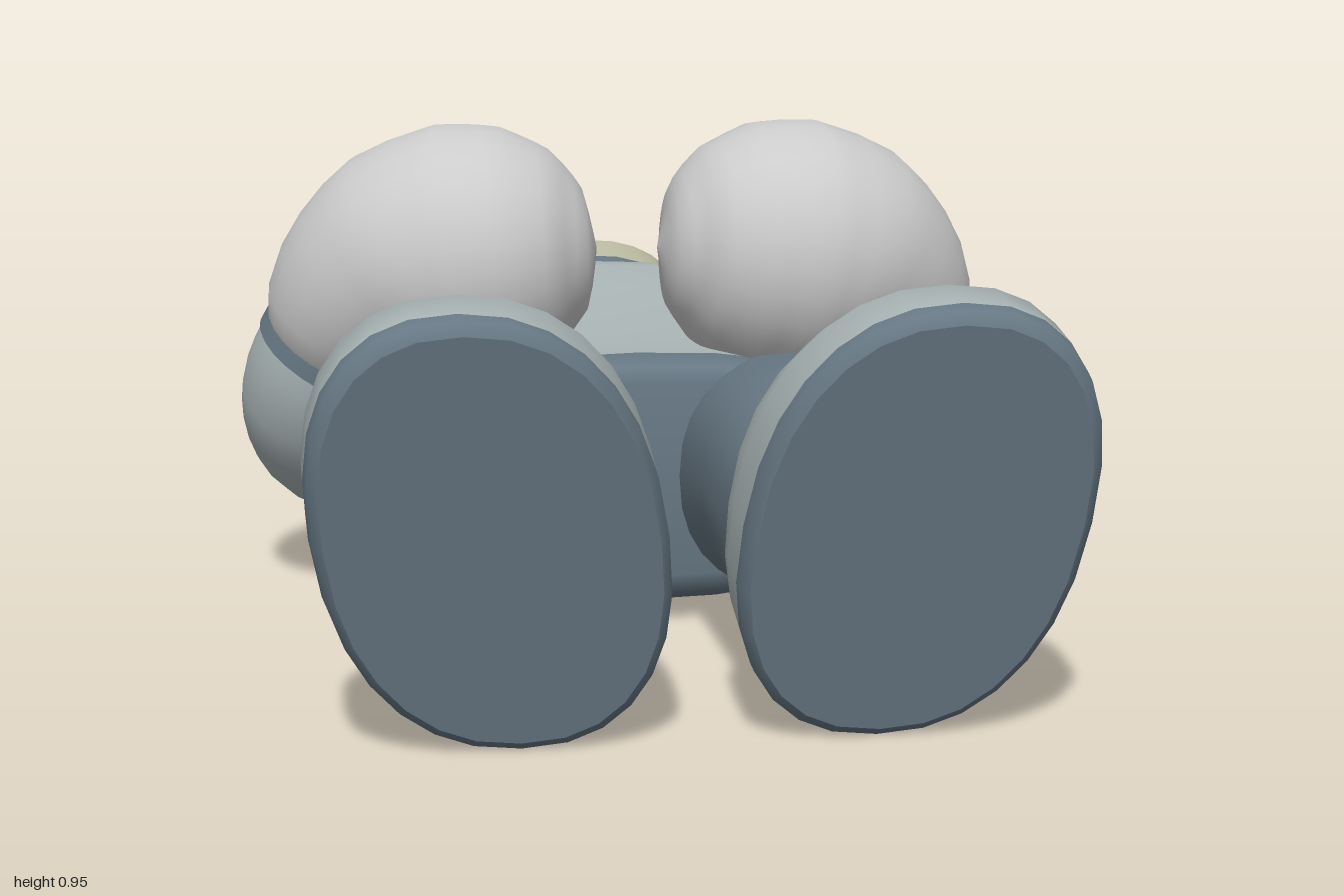
import * as THREE from 'three';

const SEG = 28;
const paint = (color) => new THREE.MeshStandardMaterial({ color, side: THREE.DoubleSide });
const suit = paint(0xa9b4b5), dark = paint(0x677884), trim = paint(0xb8b89f), glove = paint(0xcccccc);

// Skin a list of closed rings; a repeated ring gives a sharp edge
function skin(rings) {
  const pos = rings.flat().flatMap((p) => [p.x, p.y, p.z]);
  const idx = [];
  for (let i = 0; i < rings.length - 1; i++) {
    for (let j = 0; j < SEG; j++) {
      const a = i * SEG + j, b = i * SEG + (j + 1) % SEG;
      idx.push(a, b, a + SEG, b, b + SEG, a + SEG);
    }
  }
  const g = new THREE.BufferGeometry();
  g.setAttribute('position', new THREE.Float32BufferAttribute(pos, 3));
  g.setIndex(idx);
  g.computeVertexNormals();
  return g;
}

// Rings along z: [z, cx, cy, rx, ry, tilt of z by y, lean of x by y]
function loft(sections, n = 2.3) {
  const pw = (v) => Math.sign(v) * Math.abs(v) ** (2 / n);
  return skin(sections.map(([z, cx, cy, rx, ry, tilt = 0, lean = 0]) =>
    Array.from({ length: SEG }, (_, j) => {
      const t = (j / SEG) * Math.PI * 2, dy = ry * pw(Math.sin(t));
      return new THREE.Vector3(cx + rx * pw(Math.cos(t)) + lean * dy, cy + dy, z + tilt * dy);
    })));
}

// Round sweep along a smooth path between u0 and u1: [x, y, z, radius]
function sweep(knots, u0, u1, steps, grow = 0) {
  const path = new THREE.CatmullRomCurve3(knots.map((k) => new THREE.Vector3(...k)));
  const rings = [];
  for (let i = 0; i <= steps; i++) {
    const u = u0 + (u1 - u0) * (i / steps);
    const f = u * (knots.length - 1), k = Math.min(Math.floor(f), knots.length - 2);
    const r = THREE.MathUtils.lerp(knots[k][3], knots[k + 1][3], f - k) + grow;
    const c = path.getPoint(u), T = path.getTangent(u);
    const N = new THREE.Vector3(0, 0, 1).cross(T);
    if (N.length() < 0.1) N.set(1, 0, 0);
    N.normalize();
    const B = T.clone().cross(N).normalize();
    rings.push(Array.from({ length: SEG }, (_, j) => {
      const t = (j / SEG) * Math.PI * 2;
      return c.clone().addScaledVector(N, r * Math.cos(t)).addScaledVector(B, r * Math.sin(t));
    }));
  }
  return skin(rings);
}

function mirrored(geo) {
  const g = geo.clone().scale(-1, 1, 1), ix = g.index.array;
  for (let i = 0; i < ix.length; i += 3) [ix[i], ix[i + 1]] = [ix[i + 1], ix[i]];
  g.computeVertexNormals();
  return g;
}

export function createModel() {
  const root = new THREE.Group();
  root.name = 'recliningSuit';
  const add = (name, geo, mat) => {
    const m = new THREE.Mesh(geo, mat);
    m.name = name;
    root.add(m);
  };
  const pair = (name, geo, mat) => {
    add(name + 'Left', geo, mat);
    add(name + 'Right', mirrored(geo), mat);
  };

  // Collar, open at the neck
  const neckTop = [-0.85, 0, 0.395, 0.24, 0.205, 0.25];
  const neckBase = [-0.795, 0, 0.385, 0.245, 0.207, 0.22];
  add('collar', loft([[-0.933, 0, 0.422, 0.23, 0.203, 0.33], [-0.89, 0, 0.41, 0.237, 0.203, 0.29], neckTop]), trim);
  add('neckBand', loft([neckTop, neckBase]), dark);

  // Torso lying on its back
  const waist = [0, 0, 0.278, 0.53, 0.248];
  add('torso', loft([
    neckBase,
    [-0.755, 0, 0.375, 0.275, 0.22, 0.17],
    [-0.71, 0, 0.37, 0.37, 0.235, 0.13],
    [-0.64, 0, 0.36, 0.45, 0.245, 0.08],
    [-0.5, 0, 0.335, 0.48, 0.245, 0.03],
    [-0.35, 0, 0.31, 0.49, 0.245],
    [-0.18, 0, 0.285, 0.51, 0.25],
    [-0.06, 0, 0.275, 0.53, 0.25],
    waist,
  ], 2.5), suit);

  // Hips, closed at the crotch
  add('hips', loft([
    waist,
    [0.05, 0, 0.285, 0.53, 0.24],
    [0.09, 0, 0.29, 0.51, 0.225],
    [0.11, 0, 0.295, 0.46, 0.19],
    [0.11, 0, 0.295, 0, 0],
  ], 2.5), dark);

  // Trouser legs
  const ankle = [0.6, 0.318, 0.31, 0.232, 0.222, 0.1];
  pair('trouserLeg', loft([
    [0.01, 0.3, 0.28, 0.225, 0.242],
    [0.1, 0.3, 0.3, 0.23, 0.235],
    [0.2, 0.301, 0.325, 0.23, 0.217],
    [0.34, 0.305, 0.338, 0.23, 0.217],
    [0.48, 0.31, 0.327, 0.23, 0.225],
    ankle,
  ]), dark);

  // Boots flare towards slightly splayed soles
  const welt = [0.876, 0.36, 0.39, 0.296, 0.38, 0.2, 0.14];
  pair('boot', loft([
    ankle,
    [0.625, 0.322, 0.318, 0.24, 0.24, 0.12, 0.02],
    [0.68, 0.338, 0.355, 0.265, 0.295, 0.15, 0.06],
    [0.73, 0.35, 0.395, 0.287, 0.35, 0.17, 0.1],
    [0.79, 0.36, 0.41, 0.298, 0.376, 0.19, 0.13],
    welt,
  ]), suit);
  const edge = [0.925, 0.357, 0.38, 0.277, 0.36, 0.2, 0.14];
  pair('sole', loft([
    welt,
    [0.912, 0.358, 0.385, 0.293, 0.379, 0.2, 0.14],
    edge, edge,
    [0.925, 0.357, 0.38, 0, 0],
  ]), dark);

  // Bent arms
  const arm = [
    [0.28, 0.36, -0.53, 0.2],
    [0.44, 0.35, -0.465, 0.205],
    [0.55, 0.345, -0.36, 0.195],
    [0.573, 0.42, -0.275, 0.187],
    [0.53, 0.53, -0.23, 0.182],
  ];
  pair('arm', sweep(arm, 0, 0.94, 20), suit);
  pair('cuff', sweep(arm, 0.9, 1, 3, 0.005), dark);

  // Rounded mitts over the chest
  pair('mitt', sweep([
    [0.535, 0.51, -0.235, 0.175],
    [0.5, 0.6, -0.2, 0.215],
    [0.42, 0.67, -0.172, 0.253],
    [0.33, 0.695, -0.155, 0.268],
    [0.23, 0.705, -0.145, 0.25],
    [0.145, 0.71, -0.14, 0.2],
    [0.085, 0.712, -0.135, 0.12],
    [0.06, 0.713, -0.135, 0],
  ], 0, 1, 21), glove);

  // Small pinched fold of cloth under each elbow
  const fold = new THREE.ConeGeometry(0.035, 0.09, 4);
  fold.scale(1, 1, 0.4).rotateZ(-2.2).translate(0.575, 0.2, -0.32);
  pair('elbowFold', fold, suit);

  return root;
}
